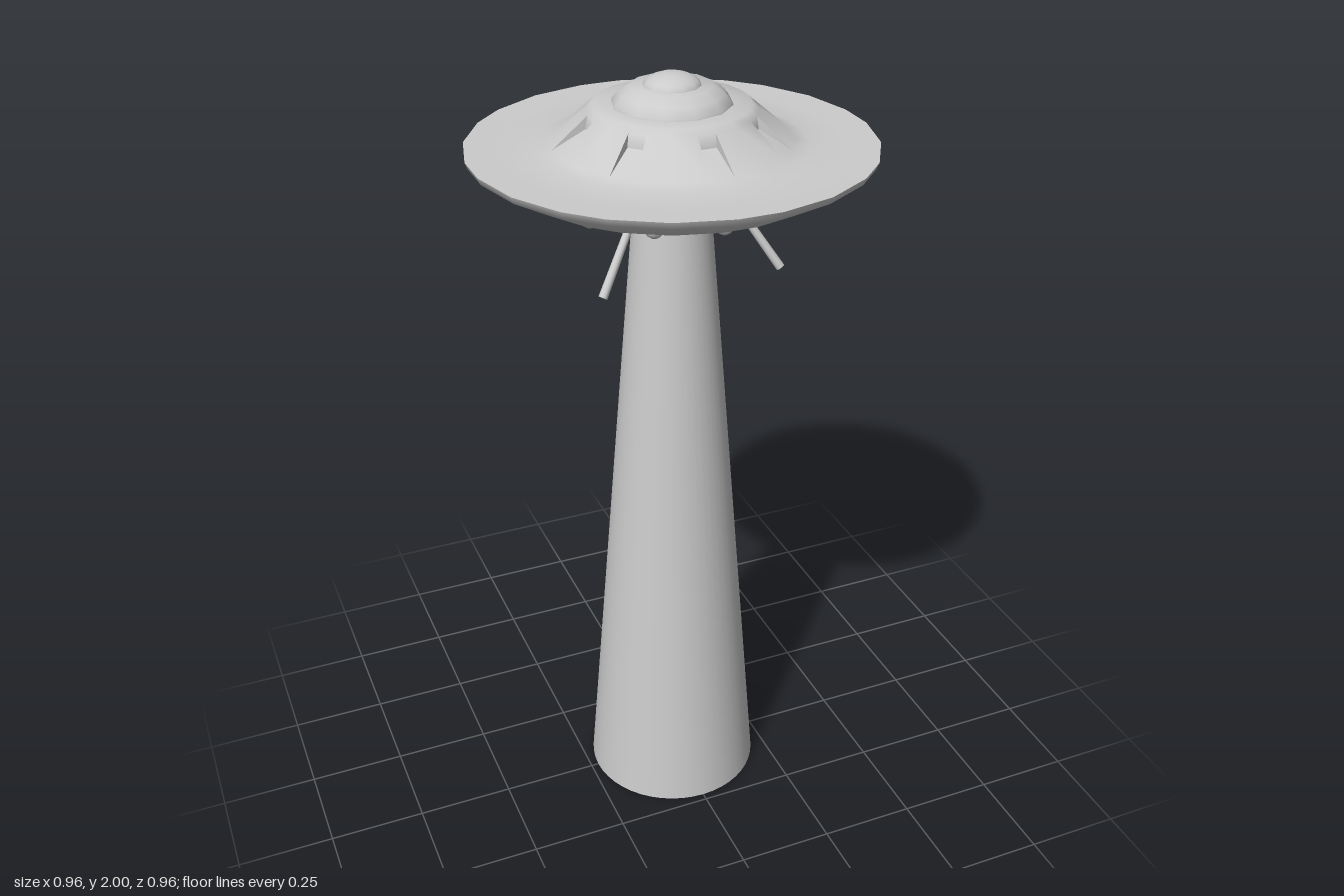
import * as THREE from 'three';
import { toCreasedNormals } from 'three/addons/utils/BufferGeometryUtils.js';

const material = new THREE.MeshStandardMaterial({ color: 0xcccccc });

function part(name, geometry) {
  const mesh = new THREE.Mesh(geometry, material);
  mesh.name = name;
  return mesh;
}

const lathe = (points, sides) => toCreasedNormals(
  new THREE.LatheGeometry(points.map(([r, y]) => new THREE.Vector2(r, y)), sides), 0.7);

// Saucer skin swept around in sectors; every third sector holds a sunken window
function saucerGeometry() {
  const above = [[0.12, 1.93], [0.185, 1.93], [0.2, 1.917]];
  const recess = [0.205, 1.886];
  const below = [[0.285, 1.844], [0.32, 1.835], [0.4, 1.833], [0.485, 1.835],
    [0.478, 1.818], [0.385, 1.765], [0.36, 1.758], [0.25, 1.75], [0.238, 1.73],
    [0.21, 1.703], [0.175, 1.68], [0.14, 1.665], [0.108, 1.655], [0.102, 1.645], [0.08, 1.645]];
  const plain = [...above, ...below];
  const sunken = [...above, recess, ...below];
  const positions = [];
  const add = (corners) => corners.forEach(([[r, y], a]) =>
    positions.push(r * Math.sin(a), y, r * Math.cos(a)));

  const sweep = (profile, a, b) => {
    for (let i = 0; i < profile.length - 1; i++) {
      const p = profile[i], q = profile[i + 1];
      add([[p, a], [q, a], [q, b], [p, a], [q, b], [p, b]]);
    }
  };

  const half = 0.108;
  for (let i = 0; i < 8; i++) {
    const mid = i * Math.PI / 4;
    const a = mid - half, b = mid + half;
    const between = mid + Math.PI / 8, next = mid + Math.PI / 4 - half;
    sweep(sunken, a, b);
    sweep(plain, b, between);
    sweep(plain, between, next);
    // Window side walls
    add([[above[2], a], [below[0], a], [recess, a]]);
    add([[above[2], b], [recess, b], [below[0], b]]);
  }
  const geometry = new THREE.BufferGeometry();
  geometry.setAttribute('position', new THREE.Float32BufferAttribute(positions, 3));
  return toCreasedNormals(geometry, 0.9);
}

export function createModel() {
  const model = new THREE.Group();
  model.name = 'flyingSaucer';

  model.add(part('saucerHull', saucerGeometry()));

  // Stepped cap and the small dome on top
  model.add(part('topCap', lathe(
    [[0.142, 1.925], [0.14, 1.935], [0.122, 1.955], [0.097, 1.971], [0, 1.975]], 12)));
  const dome = part('topDome', new THREE.SphereGeometry(0.07, 12, 6, 0, Math.PI * 2, 0, Math.PI / 2));
  dome.scale.y = 0.5;
  dome.position.y = 1.965;
  model.add(dome);

  // Light beam down to the ground
  const beam = part('lightBeam', new THREE.CylinderGeometry(0.095, 0.23, 1.66, 48));
  beam.position.y = 0.83;
  model.add(beam);

  // Ring of lamps under the rim
  const lamps = new THREE.Group();
  lamps.name = 'lamps';
  for (let i = 0; i < 12; i++) {
    const a = i * Math.PI / 6;
    const lamp = new THREE.Group();
    lamp.name = 'lamp';
    lamp.position.set(0.3 * Math.sin(a), 1.754, 0.3 * Math.cos(a));
    const collar = part('lampCollar', new THREE.CylinderGeometry(0.04, 0.03, 0.02, 14));
    const bulb = part('lampBulb', new THREE.SphereGeometry(0.023, 12, 8));
    bulb.position.y = -0.009;
    lamp.add(collar, bulb);
    lamps.add(lamp);
  }
  model.add(lamps);

  // Three splayed landing legs, one at the back
  const up = new THREE.Vector3(0, 1, 0);
  for (let i = 0; i < 3; i++) {
    const a = Math.PI + i * Math.PI * 2 / 3;
    const at = (r, y) => new THREE.Vector3(r * Math.sin(a), y, r * Math.cos(a));
    const top = at(0.145, 1.70), foot = at(0.262, 1.535);
    const axis = top.clone().sub(foot);
    const leg = part('landingLeg', new THREE.CylinderGeometry(0.009, 0.011, axis.length(), 10));
    leg.position.copy(top).add(foot).multiplyScalar(0.5);
    leg.quaternion.setFromUnitVectors(up, axis.normalize());
    model.add(leg);
  }

  // Lathe profiles listed from the outside in need flipped faces
  model.getObjectByName('topCap').geometry.computeBoundingSphere();
  return model;
}
